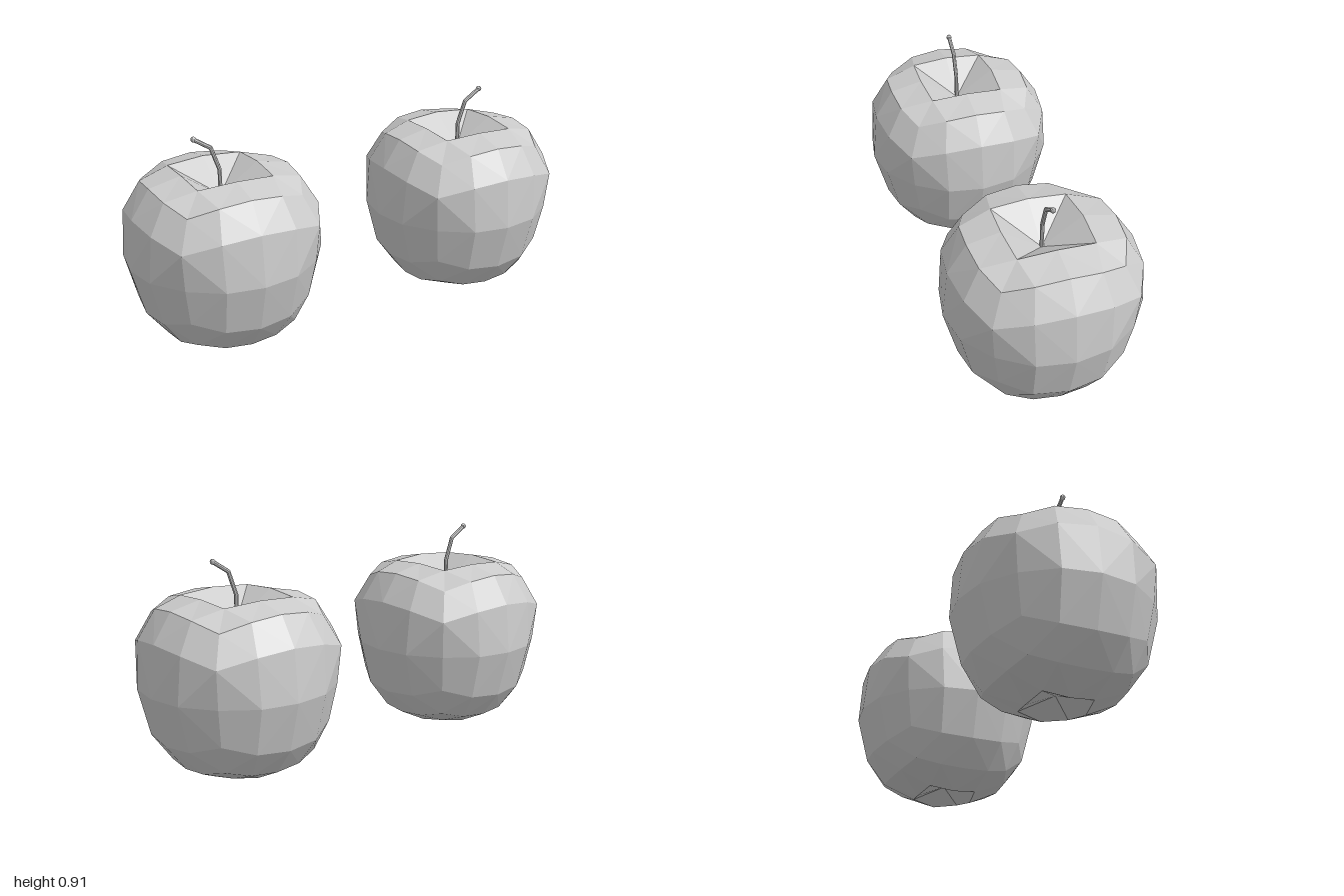
import * as THREE from 'three';

const grey = () => new THREE.MeshStandardMaterial({ color: 0xcccccc, flatShading: true });

// One eighth of the fruit skin on a 4x4x4 cube grid: level -> "major minor" -> [major, y, minor]
const SKIN = {
  '2': {
    '00': [0, 0.64, 0], '10': [0.17, 0.755, 0], '11': [0.165, 0.745, 0.16],
    '20': [0.31, 0.725, 0], '21': [0.30, 0.712, 0.135], '22': [0.25, 0.675, 0.25],
  },
  '1': { '20': [0.39, 0.605, 0], '21': [0.37, 0.59, 0.16], '22': [0.302, 0.55, 0.302] },
  '0': { '20': [0.412, 0.39, 0], '21': [0.385, 0.39, 0.155], '22': [0.29, 0.39, 0.29] },
  '-1': { '20': [0.355, 0.18, 0], '21': [0.335, 0.19, 0.145], '22': [0.265, 0.228, 0.265] },
  '-2': {
    '00': [0, 0.06, 0], '10': [0.13, 0, 0], '11': [0.11, 0.018, 0.11],
    '20': [0.265, 0.065, 0], '21': [0.255, 0.073, 0.115], '22': [0.22, 0.1, 0.22],
  },
};

// Faceted fruit: a gridded cube pushed onto the skin, dented at top and bottom
function fruitGeometry() {
  const geo = new THREE.BoxGeometry(4, 4, 4, 4, 4, 4);
  const pos = geo.attributes.position;
  const old = geo.index.array;
  const reach = (i) => Math.hypot(pos.getX(i), pos.getY(i), pos.getZ(i));

  // Split every cell along the diagonal that runs out from its face centre
  const index = [];
  for (let q = 0; q < old.length; q += 6) {
    const [a, b, d, c] = [old[q], old[q + 1], old[q + 2], old[q + 4]];
    if (Math.min(reach(a), reach(c)) < Math.min(reach(b), reach(d))) index.push(a, b, c, a, c, d);
    else index.push(a, b, d, b, c, d);
  }
  geo.setIndex(index);

  for (let i = 0; i < pos.count; i++) {
    const [x, y, z] = [pos.getX(i), pos.getY(i), pos.getZ(i)].map(Math.round);
    const ax = Math.abs(x), az = Math.abs(z);
    const [major, h, minor] = SKIN[String(y + 0)][`${Math.max(ax, az)}${Math.min(ax, az)}`];
    const [px, pz] = ax >= az ? [major, minor] : [minor, major];
    pos.setXYZ(i, Math.sign(x) * px, h, Math.sign(z) * pz);
  }
  const flat = geo.toNonIndexed();
  flat.computeVertexNormals();
  return flat;
}

// Bent stalk: thin rods joined by small balls, leaning towards +x
function makeStem() {
  const stem = new THREE.Group();
  stem.name = 'stem';
  const points = [[0, 0.62], [0, 0.75], [0.035, 0.85], [0.108, 0.898]]
    .map(([x, y]) => new THREE.Vector3(x, y, 0));
  const up = new THREE.Vector3(0, 1, 0);
  for (let i = 1; i < points.length; i++) {
    const dir = points[i].clone().sub(points[i - 1]);
    const rod = new THREE.Mesh(new THREE.CylinderGeometry(0.009, 0.009, dir.length(), 8), grey());
    rod.position.copy(points[i]).add(points[i - 1]).multiplyScalar(0.5);
    rod.quaternion.setFromUnitVectors(up, dir.normalize());
    rod.name = 'stemRod';
    const last = i === points.length - 1;
    const joint = new THREE.Mesh(new THREE.SphereGeometry(last ? 0.012 : 0.009, 8, 6), grey());
    joint.position.copy(points[i]);
    joint.name = last ? 'stemTip' : 'stemJoint';
    stem.add(rod, joint);
  }
  return stem;
}

export function createModel() {
  const model = new THREE.Group();
  model.name = 'apples';
  const skin = fruitGeometry();

  // Two apples side by side, stems leaning outwards
  for (const side of [-1, 1]) {
    const apple = new THREE.Group();
    apple.name = side > 0 ? 'leftApple' : 'rightApple';
    const body = new THREE.Mesh(skin, grey());
    body.name = 'fruit';
    apple.add(body, makeStem());
    apple.position.x = side * 0.588;
    if (side < 0) apple.rotation.y = Math.PI;
    model.add(apple);
  }
  return model;
}
